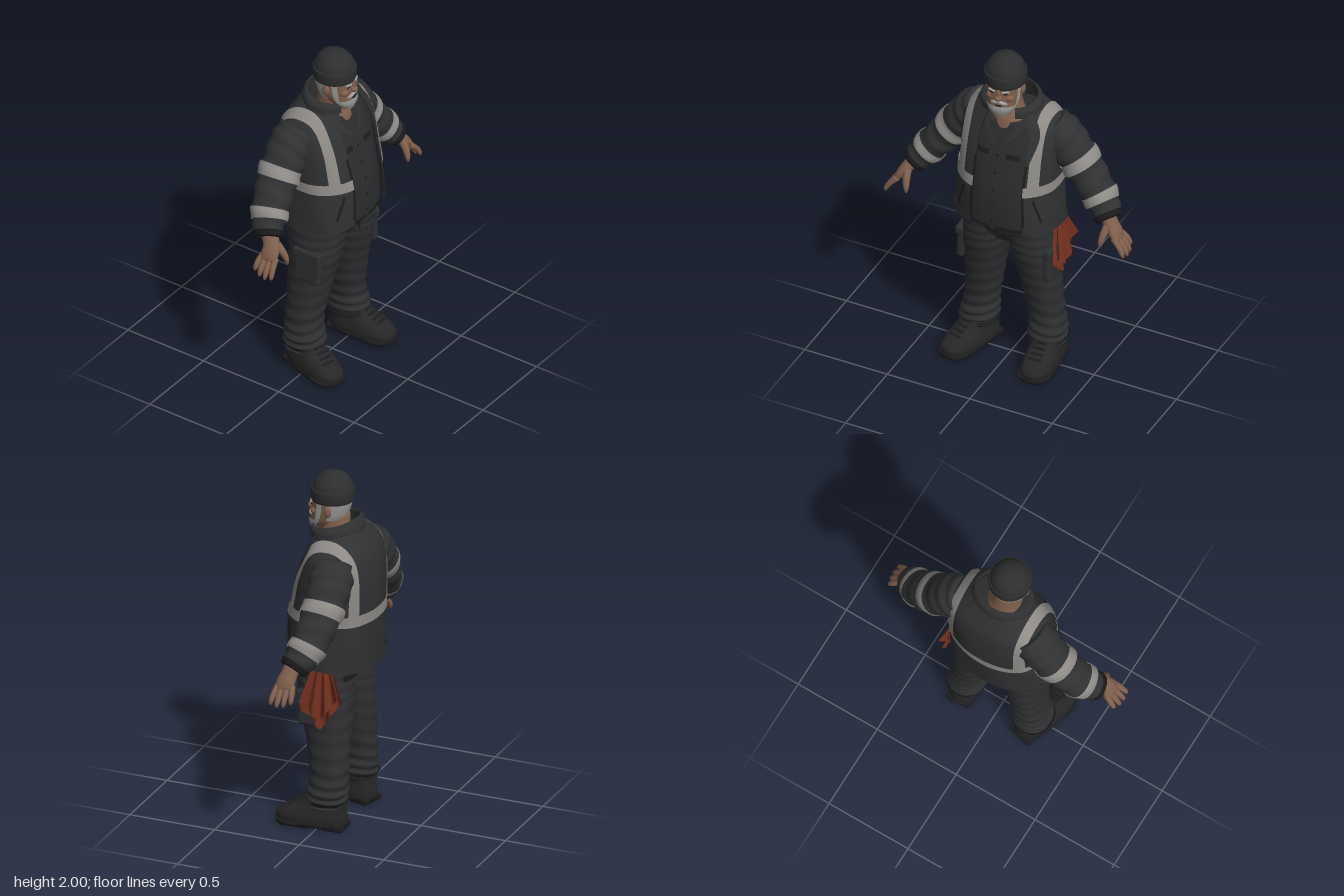
import * as THREE from 'three';
import { mergeVertices } from 'three/addons/utils/BufferGeometryUtils.js';
import { RoundedBoxGeometry } from 'three/addons/geometries/RoundedBoxGeometry.js';

const V = (x, y, z) => new THREE.Vector3(x, y, z);
const PI = Math.PI, FRONT = 1.5 * PI, BACK = 0.5 * PI;

const mat = (name, color, side = THREE.FrontSide) => {
  const m = new THREE.MeshStandardMaterial({ color, side });
  m.name = name;
  return m;
};

// Sheet of quads from fn(u, v); shared corners are welded for smooth normals
function grid(fn, nu, nv) {
  const pos = [], idx = [];
  for (let j = 0; j <= nv; j++) for (let i = 0; i <= nu; i++) pos.push(...fn(i / nu, j / nv).toArray());
  for (let j = 0; j < nv; j++) for (let i = 0; i < nu; i++) {
    const a = j * (nu + 1) + i, d = a + nu + 1;
    idx.push(a, a + 1, d + 1, a, d + 1, d);
  }
  const g = new THREE.BufferGeometry();
  g.setAttribute('position', new THREE.Float32BufferAttribute(pos, 3));
  g.setIndex(idx);
  const m = mergeVertices(g, 1e-4);
  m.computeVertexNormals();
  return m;
}

// Surface through oval sections [x, y, z, halfWidth, halfDepth]; flat keeps sections level
function surface(rows, { flat = true, p = 2.2, ripple = () => 0 } = {}) {
  const path = new THREE.CatmullRomCurve3(rows.map(r => V(r[0], r[1], r[2])), false, 'catmullrom');
  const size = new THREE.CatmullRomCurve3(rows.map(r => V(r[3], r[4], 0)), false, 'catmullrom');
  const pw = c => Math.sign(c) * Math.abs(c) ** (2 / p);
  const at = (s, th, off = 0, k = 1) => {
    const t = flat ? V(0, 1, 0) : path.getTangent(s);
    const u = t.clone().cross(V(0, 0, 1)).normalize(), v = t.clone().cross(u);
    const r = size.getPoint(s), o = off + ripple(s, th);
    return path.getPoint(s).addScaledVector(u, k * (r.x + o) * pw(Math.cos(th)))
      .addScaledVector(v, k * (r.y + o) * pw(Math.sin(th)));
  };
  at.info = s => ({ c: path.getPoint(s), r: size.getPoint(s), p });
  return at;
}

// Closed solid, and an open piece of a surface
const loft = (at, nu = 28, nv = 20, off = 0, s0 = 0, s1 = 1) => grid((u, v) => {
  const j = Math.round(v * (nv + 2)), f = Math.min(1, Math.max(0, (j - 1) / nv));
  return at(s0 + (s1 - s0) * f, u * 2 * PI, off, j === 0 || j === nv + 2 ? 0 : 1);
}, nu, nv + 2);
const patch = (at, s0, s1, t0, t1, off, nu = 12, nv = 8) =>
  grid((u, v) => at(s0 + (s1 - s0) * v, t0 + (t1 - t0) * u, off), nu, nv);

export function createModel() {
  const root = new THREE.Group();
  root.name = 'workman';
  const jacketM = mat('jacketCharcoal', 0x303132, THREE.DoubleSide), shirtM = mat('shirtDark', 0x2b2c2e);
  const pantsM = mat('trouserGrey', 0x2e2f31), bootM = mat('bootBlack', 0x262627);
  const bandM = mat('reflectiveGrey', 0x8e8b87, THREE.DoubleSide), skinM = mat('skin', 0x80604d);
  const hairM = mat('greyHair', 0x9c9c9a), clothM = mat('ragRed', 0x74301f, THREE.DoubleSide);
  const trimM = mat('trimBlack', 0x1c1c1e, THREE.DoubleSide), hatM = mat('hatGrey', 0x2d2e2f);
  const add = (name, geo, m, parent = root) => {
    const mesh = new THREE.Mesh(geo, m);
    mesh.name = name;
    parent.add(mesh);
    return mesh;
  };
  const ball = (name, m, parent, [x, y, z], [a, b, c]) =>
    add(name, new THREE.SphereGeometry(1, 18, 12).scale(a, b, c).translate(x, y, z), m, parent);
  const box = (name, m, parent, [x, y, z], [w, h, d], r = 0.008) => {
    const b = add(name, new RoundedBoxGeometry(w, h, d, 2, r), m, parent);
    b.position.set(x, y, z);
    return b;
  };

  // Torso: even steps in height, so s = (y - 0.95) / 0.75
  const torso = surface([
    [0, 0.95, 0.003, 0.298, 0.243], [0, 1.075, 0, 0.295, 0.246], [0, 1.2, -0.006, 0.285, 0.243],
    [0, 1.325, -0.02, 0.286, 0.23], [0, 1.45, -0.035, 0.29, 0.21], [0, 1.575, -0.047, 0.27, 0.172],
    [0, 1.7, -0.03, 0.15, 0.115]], { p: 2.4 });
  const sAt = y => (y - 0.95) / 0.75;
  const coat = (s, th, off = 0) => {
    const q = torso(s, th, off + 0.003 * Math.sin(th * 7 + s * 9) * (1 - s));
    q.y -= 0.03 * Math.sin(th) * Math.max(0, 1 - s) ** 4;
    return q;
  };
  const edgeL = FRONT + 0.55, edgeR = FRONT + 2 * PI - 0.35;
  add('shirt', loft(torso, 40, 24, -0.02, 0.02, 0.87), shirtM);
  add('jacket', patch(coat, 0, 1, edgeL, edgeR, 0, 56, 36), jacketM);
  add('jacketHem', patch(coat, 0, 0.07, edgeL, edgeR, 0.007, 56, 4), jacketM);
  add('waistBand', patch(coat, sAt(1.208), sAt(1.27), edgeL, edgeR, 0.008, 56, 4), bandM);
  for (const [m, e] of [[1, edgeL], [-1, edgeR]]) {
    // Zip edge, lapel and slanted pocket
    const strip = (name, s0, s1, w, off, mt) => add(name, grid((u, v) => {
      const s = s0 + (s1 - s0) * v;
      return coat(s, e + m * w(v) * (m > 0 ? u : 1 - u) - m * 0.02, off);
    }, 6, 16), mt);
    strip('zipEdge', 0, 0.95, () => 0.06, 0.006, trimM);
    strip('lapel', 0.6, 1, v => 0.06 + 0.4 * v, 0.012, jacketM);
    add('pocketWelt', grid((u, v) => coat(0.1 + 0.2 * v + 0.02 * u, e + m * (0.4 - 0.18 * v + 0.05 * u), 0.007), 3, 8), trimM);
    // Reflective brace running from waist over the shoulder to the back
    add('braceBand', grid((u, v) => {
      const x = m * 0.215 + (u - 0.5) * 0.052, off = 0.008;
      let lo = 0.6, hi = 1;
      for (let i = 0; i < 20; i++) {
        const h = (lo + hi) / 2;
        if (torso.info(h).r.x + off > Math.abs(x)) lo = h; else hi = h;
      }
      const s = sAt(1.24) + (lo - sAt(1.24)) * Math.sin(PI * v);
      const { c, r, p } = torso.info(s), q = Math.min(1, Math.abs(x) / (r.x + off));
      return V(x, c.y + off * Math.sin(PI * v) ** 4, c.z + (v < 0.5 ? 1 : -1) * (r.y + off) * (1 - q ** p) ** (1 / p));
    }, 4, 60), bandM);
    // Shirt chest pocket and flap
    const c = FRONT + m * 0.27;
    add('chestPocket', patch(torso, sAt(1.32), sAt(1.43), c - 0.13, c + 0.13, -0.014), shirtM);
    add('pocketFlap', patch(torso, sAt(1.41), sAt(1.44), c - 0.14, c + 0.14, -0.011), trimM);
    add('shirtCollar', grid((u, v) => torso(sAt(1.47 + 0.13 * v), FRONT + m * (0.02 + 0.22 * v + 0.22 * v * (m > 0 ? u : 1 - u)), -0.008), 5, 6), jacketM);
  }
  add('shirtPlacket', patch(torso, 0.02, sAt(1.5), FRONT - 0.025, FRONT + 0.025, -0.015, 3, 16), shirtM);
  for (let i = 0; i < 5; i++) {
    const q = torso(sAt(1.02 + i * 0.1), FRONT, -0.014);
    ball('button', trimM, root, q.toArray(), [0.008, 0.008, 0.004]);
  }

  // Standing collar, high at the nape and spreading low at the front
  add('collar', grid((u, v) => {
    const th = FRONT + 0.45 + u * (2 * PI - 0.9), back = 0.5 + 0.5 * Math.sin(th);
    const w = v < 0.5 ? 2 * v : 2 - 2 * v, fall = v > 0.5 ? 0.022 : 0;
    const r = 0.148 - 0.018 * w * back + fall + 0.02 * (1 - back);
    return V(r * Math.cos(th), 1.655 + w * (0.055 + 0.055 * back), -0.02 - r * 0.82 * Math.sin(th));
  }, 36, 8), jacketM);

  // Neck and open throat
  add('neck', loft(surface([[0, 1.5, 0.015, 0.1, 0.105], [0, 1.59, 0.01, 0.095, 0.095],
    [-0.01, 1.66, 0.005, 0.076, 0.08], [-0.02, 1.76, 0.01, 0.072, 0.075]])), skinM);

  // Head
  const head = new THREE.Group();
  head.name = 'head';
  head.position.set(-0.02, 1.83, 0.03);
  head.rotation.y = 0.12;
  root.add(head);
  const skull = surface([[0, -0.165, 0.065, 0.04, 0.042], [0, -0.125, 0.045, 0.072, 0.075], [0, -0.08, 0.022, 0.088, 0.095],
    [0, -0.02, 0.01, 0.094, 0.104], [0, 0.04, 0.005, 0.098, 0.108], [0, 0.09, 0, 0.09, 0.1]], { p: 2.3 });
  add('face', loft(skull), skinM, head);
  add('beard', patch(skull, 0, 0.33, FRONT - 1.35, FRONT + 1.35, 0.009, 20, 8), hairM, head);
  ball('chinBeard', hairM, head, [0, -0.15, 0.073], [0.052, 0.026, 0.046]);
  add('napeHair', patch(skull, 0.34, 0.82, BACK - 1.45, BACK + 1.45, 0.01, 24, 8), hairM, head);
  ball('nose', skinM, head, [0, -0.046, 0.118], [0.021, 0.018, 0.022]);
  ball('noseBridge', skinM, head, [0, -0.022, 0.112], [0.012, 0.032, 0.014]);
  box('mouth', trimM, head, [0, -0.094, 0.121], [0.036, 0.006, 0.01], 0.002);
  for (const m of [-1, 1]) {
    const mo = ball('moustache', hairM, head, [0, 0, 0], [0.03, 0.011, 0.014]);
    mo.position.set(m * 0.022, -0.077, 0.112);
    mo.rotation.set(0, m * 0.35, -m * 0.3);
    const brow = box('eyebrow', hairM, head, [m * 0.04, -0.005, 0.109], [0.042, 0.009, 0.014], 0.003);
    brow.rotation.set(0, m * 0.3, m * 0.12);
    box('eye', trimM, head, [m * 0.038, -0.021, 0.105], [0.024, 0.008, 0.01], 0.003).rotation.y = m * 0.3;
    ball('cheek', skinM, head, [m * 0.05, -0.052, 0.085], [0.03, 0.024, 0.024]);
    ball('ear', skinM, head, [m * 0.1, -0.035, 0], [0.014, 0.034, 0.022]);
    const b = FRONT + m * 1.25;
    add('sideburn', patch(skull, 0.25, 0.7, b - 0.14, b + 0.14, 0.008, 4, 8), hairM, head);
  }
  // Knitted hat with a turned-up cuff
  const hat = surface([[0, 0.01, 0, 0.108, 0.112], [0, 0.06, 0, 0.113, 0.114], [0, 0.105, -0.002, 0.102, 0.104],
    [0, 0.145, -0.004, 0.07, 0.074], [0, 0.165, -0.004, 0.032, 0.034], [0, 0.17, -0.004, 0.004, 0.004]], { p: 2 });
  add('hat', loft(hat, 36, 20), hatM, head);
  add('hatCuff', loft(surface([[0, 0.005, 0, 0.113, 0.116], [0, 0.02, 0, 0.118, 0.12],
    [0, 0.065, 0, 0.119, 0.121], [0, 0.078, 0, 0.114, 0.117]], { p: 2 }), 36, 8), hatM, head);

  // Arms
  for (const m of [-1, 1]) {
    const arm = new THREE.Group();
    arm.name = m > 0 ? 'leftArm' : 'rightArm';
    root.add(arm);
    const sleeve = surface([[0.2, 1.54, -0.075, 0.1, 0.11], [0.265, 1.475, -0.083, 0.117, 0.12], [0.345, 1.385, -0.085, 0.104, 0.113],
      [0.435, 1.27, -0.075, 0.096, 0.107], [0.525, 1.16, -0.045, 0.086, 0.096], [0.595, 1.075, -0.005, 0.064, 0.07]]
      .map(r => [m * r[0], ...r.slice(1)]), { flat: false, ripple: (s, t) => 0.004 * Math.sin(s * 42 + 1.5 * Math.sin(t)) });
    add('sleeve', loft(sleeve, 28, 44), jacketM, arm);
    add('upperArmBand', patch(sleeve, 0.425, 0.52, 0, 2 * PI, 0.007, 28, 5), bandM, arm);
    add('forearmBand', patch(sleeve, 0.745, 0.835, 0, 2 * PI, 0.007, 28, 5), bandM, arm);
    add('cuff', loft(sleeve, 28, 4, 0.006, 0.94, 1), trimM, arm);
    // Hand: palm, four fingers, thumb
    const fz = m < 0 ? 0.025 : 0;
    const limb = (name, rows) => add(name, loft(surface(rows.map(([x, y, z, a, b = a]) => [m * x, y, z + fz, a, b]), { flat: false }), 12, 8), skinM, arm);
    limb('palm', [[0.585, 1.09, 0 - fz, 0.04, 0.046], [0.615, 1.05, 0.01, 0.034, 0.048], [0.645, 1.01, 0.018, 0.027, 0.054], [0.668, 0.978, 0.02, 0.014, 0.045]]);
    for (let i = 0; i < 4; i++) {
      const z = 0.068 - i * 0.034, l = [0.92, 1, 0.95, 0.78][i];
      limb('finger', [[0.645, 1.0, 0.018 + (z - 0.018) * 0.8, 0.017], [0.645 + 0.045 * l, 1.0 - 0.045 * l, z, 0.016],
        [0.645 + 0.07 * l, 1.0 - 0.085 * l, z * 1.1, 0.013], [0.645 + 0.075 * l, 1.0 - 0.106 * l, z * 1.1, 0.006]]);
    }
    limb('thumb', [[0.6, 1.055, 0.035, 0.024], [0.59, 1.01, 0.068, 0.02], [0.583, 0.97, 0.085, 0.015], [0.58, 0.94, 0.09, 0.006]]);
  }

  // Trousers
  add('trouserSeat', loft(surface([[0, 0.8, -0.005, 0.08, 0.1], [0, 0.86, 0, 0.18, 0.145],
    [0.005, 0.93, 0.012, 0.24, 0.165], [0.005, 1.02, 0.005, 0.245, 0.18]]), 36), pantsM);
  box('flySeam', trimM, root, [0.005, 0.91, 0.177], [0.012, 0.09, 0.008], 0.003);
  for (const m of [-1, 1]) {
    const leg = new THREE.Group();
    leg.name = m > 0 ? 'leftLeg' : 'rightLeg';
    root.add(leg);
    const trouser = surface([[0.21, 0.13, -0.035, 0.09, 0.1], [0.205, 0.2, -0.035, 0.102, 0.113], [0.197, 0.3, -0.045, 0.094, 0.106],
      [0.178, 0.45, -0.035, 0.102, 0.116], [0.162, 0.6, -0.022, 0.113, 0.134], [0.147, 0.75, -0.003, 0.128, 0.15],
      [0.135, 0.85, 0.004, 0.13, 0.155], [0.125, 0.96, 0.012, 0.125, 0.16]].map(r => [m * r[0], ...r.slice(1)]),
    { ripple: (s, t) => (0.002 + 0.007 * Math.max(0, 1 - s * 2.2)) * Math.sin(s * 75 + 2 * Math.sin(t + m)) });
    add('trouserLeg', loft(trouser, 30, 70), pantsM, leg);
    add('ankleStrap', patch(trouser, 0.03, 0.09, 0, 2 * PI, 0.007, 30, 4), trimM, leg);
    add('backPocket', patch(trouser, 0.74, 0.92, BACK - 0.55, BACK + 0.55, 0.006), pantsM, leg);
    add('backPocketFlap', patch(trouser, 0.88, 0.93, BACK - 0.58, BACK + 0.58, 0.01), trimM, leg);
    const pocket = box('cargoPocket', pantsM, leg, [m * 0.259, 0.7, 0.025], [0.045, 0.18, 0.165], 0.015);
    const flap = box('cargoFlap', pantsM, leg, [m * 0.266, 0.785, 0.025], [0.045, 0.05, 0.175], 0.01);
    pocket.rotation.z = flap.rotation.z = m * 0.06;

    // Boot, toes turned out
    const boot = new THREE.Group();
    boot.name = 'boot';
    boot.position.set(m * 0.215, 0, 0);
    boot.rotation.y = m > 0 ? 0.06 : -0.27;
    leg.add(boot);
    add('bootUpper', loft(surface([[0, 0.025, 0.045, 0.09, 0.197], [0, 0.065, 0.047, 0.093, 0.2], [0, 0.105, 0.025, 0.086, 0.172],
      [0, 0.145, -0.018, 0.08, 0.125], [0, 0.2, -0.04, 0.076, 0.096]], { p: 2.5 }), 32, 16), bootM, boot);
    add('sole', loft(surface([[0, 0.012, 0.14, 0.092, 0.108], [0, 0.035, 0.14, 0.094, 0.11]], { p: 2.4 }), 32, 2), trimM, boot);
    add('midsole', loft(surface([[0, 0.018, 0.046, 0.09, 0.2], [0, 0.04, 0.046, 0.094, 0.206]], { p: 2.5 }), 32, 2), trimM, boot);
    box('tread', trimM, boot, [0, 0.012, 0.13], [0.15, 0.024, 0.16], 0.01);
    box('heel', trimM, boot, [0, 0.018, -0.09], [0.145, 0.036, 0.12], 0.012);
    for (let i = 0; i < 4; i++) {
      const lace = box('lace', trimM, boot, [0, 0.118 + i * 0.02, 0.165 - i * 0.027], [0.075 - i * 0.004, 0.01, 0.014], 0.004);
      lace.rotation.x = 0.65;
    }
  }

  // Red rag hanging from the left hip, two pleated layers
  for (const [dx, k] of [[0, 1], [0.018, 0.85]]) {
    add('rag', grid((u, v) => {
      const len = (u < 0.5 ? 0.24 + 0.24 * u : 0.36 - 0.36 * (u - 0.5)) * k;
      const pleat = 0.014 * Math.sin(u * 6 * PI + dx * 80) * (0.4 + 0.6 * v);
      return V(0.262 + dx + 0.035 * v + pleat, 0.965 - v * len, -0.035 - (u - 0.5) * (0.1 + 0.15 * v * k));
    }, 36, 12), clothM);
  }
  return root;
}
